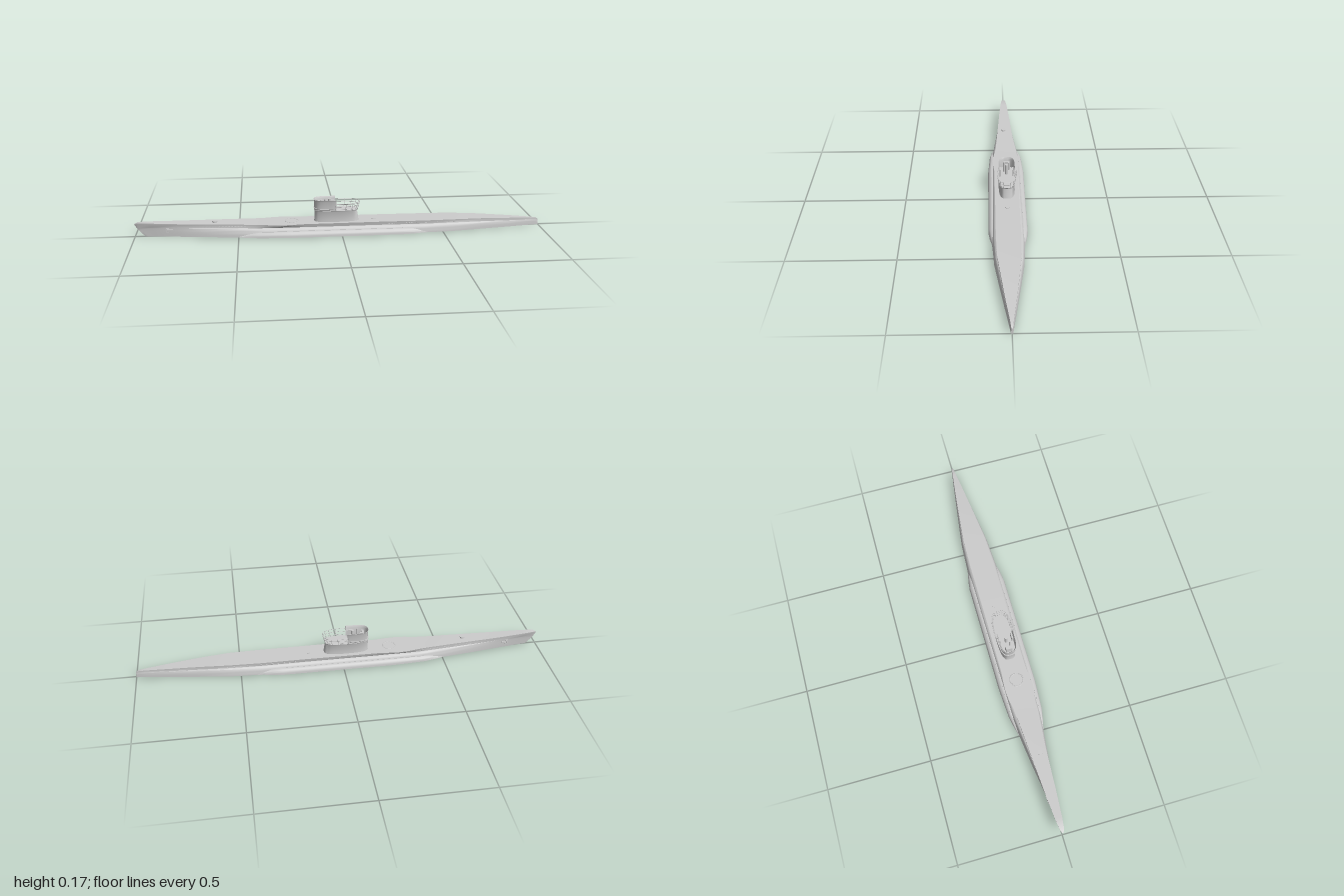
import * as THREE from 'three';
import { toCreasedNormals } from 'three/addons/utils/BufferGeometryUtils.js';

const hullGrey = new THREE.MeshStandardMaterial({ color: 0xcccccc });
hullGrey.name = 'hull grey';

// x, deck height, deck half width, neck half width, waterline half width
const stations = [
  [-1, .064, .002, .002, .002], [-.985, .071, .010, .005, .003], [-.93, .070, .017, .011, .008],
  [-.8, .066, .027, .022, .023], [-.65, .063, .036, .035, .042], [-.5, .060, .045, .045, .060],
  [-.42, .058, .050, .050, .068], [-.37, .057, .056, .052, .070], [-.33, .057, .064, .053, .071],
  [-.28, .057, .068, .053, .072], [-.23, .057, .065, .053, .073], [-.18, .057, .060, .054, .073],
  [.2, .057, .058, .055, .075], [.4, .056, .058, .056, .075], [.55, .056, .054, .053, .067],
  [.7, .052, .039, .039, .047], [.85, .044, .022, .022, .026], [.96, .037, .008, .008, .010],
  [.99, .034, .005, .005, .006], [1, .026, .003, .003, .004],
];
const NECK = .7;

function stationAt(x) {
  let i = 1;
  while (i < stations.length - 1 && stations[i][0] < x) i++;
  const a = stations[i - 1], b = stations[i], t = (x - a[0]) / (b[0] - a[0]);
  return a.map((v, k) => v + (b[k] - v) * t);
}

// Skin a row of closed rings of points, cap both ends, face outward
function loft(rings, crease = .6) {
  const n = rings[0].length, pos = [], index = [];
  rings.forEach(r => r.forEach(p => pos.push(...p)));
  for (let i = 0; i < rings.length - 1; i++) for (let j = 0; j < n; j++) {
    const a = i * n + j, b = i * n + (j + 1) % n;
    index.push(a, b, a + n, b, b + n, a + n);
  }
  [0, rings.length - 1].forEach((r, end) => {
    const c = pos.length / 3;
    for (let k = 0; k < 3; k++) pos.push(rings[r].reduce((s, p) => s + p[k], 0) / n);
    for (let j = 0; j < n; j++) {
      const a = r * n + j, b = r * n + (j + 1) % n;
      index.push(...(end ? [c, a, b] : [c, b, a]));
    }
  });
  const v = i => new THREE.Vector3().fromArray(pos, i * 3);
  let volume = 0;
  for (let i = 0; i < index.length; i += 3)
    volume += v(index[i]).dot(v(index[i + 1]).cross(v(index[i + 2])));
  if (volume < 0) index.reverse();
  const g = new THREE.BufferGeometry();
  g.setAttribute('position', new THREE.Float32BufferAttribute(pos, 3));
  g.setIndex(index);
  return toCreasedNormals(g, crease);
}

function hullRing([x, h, deck, neck, water]) {
  const rake = .05 * THREE.MathUtils.clamp((-.7 - x) / .3, 0, 1);
  const half = [[h, deck], [h * .92, deck * .985]];
  for (let i = 0; i <= 6; i++) {
    const a = i / 6 * Math.PI / 2;
    half.push([h * NECK * Math.cos(a), neck + (water - neck) * Math.sin(a)]);
  }
  return [...half, ...half.slice().reverse().map(([y, z]) => [y, -z])]
    .map(([y, z]) => [x + rake * (1 - y / h) ** 1.3, y, z]);
}

// Rounded-box outline of the tower, angle 0 pointing aft
function outline(t, front, aft, w) {
  const c = Math.cos(t), s = Math.sin(t);
  return [(front + aft) / 2 + (aft - front) / 2 * Math.sign(c) * Math.abs(c) ** .8,
    w * Math.sign(s) * Math.abs(s) ** .55];
}
const towerRing = (y, front, aft, w) => Array.from({ length: 40 }, (_, i) => {
  const [x, z] = outline(i / 40 * Math.PI * 2, front, aft, w);
  return [x, y, z];
});

// Thin wall round the front of the bridge; profile is [outward offset, y]
function bridgeWall(profile, end = -.025) {
  const path = [[end, .038], [-.05, .038], [-.08, .037], [-.1, .035], [-.115, .03], [-.125, .021], [-.129, .01]];
  const full = [...path, [-.13, 0], ...path.slice().reverse().map(([x, z]) => [x, -z])];
  return loft(full.map(([x, z], i) => {
    const a = full[Math.max(i - 1, 0)], b = full[Math.min(i + 1, full.length - 1)];
    const dx = b[0] - a[0], dz = b[1] - a[1], l = Math.hypot(dx, dz);
    return profile.map(([o, y]) => [x + dz / l * o, y, z - dx / l * o]);
  }));
}

export function createModel() {
  const model = new THREE.Group();
  model.name = 'submarine';
  const add = (name, geometry, x = 0, y = 0, z = 0, parent = model) => {
    const m = new THREE.Mesh(geometry, hullGrey);
    m.name = name;
    m.position.set(x, y, z);
    parent.add(m);
    return m;
  };
  const box = (x, y, z) => new THREE.BoxGeometry(x, y, z);
  const post = (r, h, n = 12) => new THREE.CylinderGeometry(r, r, h, n);

  add('hull', loft(stations.map(hullRing)));

  // Saddle tanks: x, outer half width, height
  const tankRows = [[-.5, .061, .004], [-.45, .073, .016], [-.4, .083, .024], [-.25, .092, .027],
    [.3, .092, .027], [.35, .086, .024], [.39, .077, .017], [.46, .070, .004]];
  for (const side of [-1, 1]) {
    add('saddleTank', loft(tankRows.map(([x, w, h]) => Array.from({ length: 17 }, (_, i) => {
      const a = i / 16 * Math.PI, r = (w - .045) / 2;
      return [x, h * Math.sin(a) ** .8, side * (w - r + r * Math.cos(a))];
    }))));
    add('tankSeam', box(.7, .002, .003), -.05, .0265, side * .072);

    // Flood slots in the casing
    const slots = new THREE.Group();
    slots.name = 'floodSlots';
    model.add(slots);
    for (const [start, count, step] of [[-.66, 20, .0145], [.22, 15, .014], [.47, 4, .03]])
      for (let i = 0; i < count; i++) {
        const x = start + i * step, [, h, deck, neck] = stationAt(x);
        const s = add('slot', box(.008, .003, .002), x, h * .8, side * (neck + (deck - neck) * .45), slots);
        s.rotation.x = side * Math.atan2(deck - neck, h * .22);
      }

    // Anchor lying against the bow
    const anchor = new THREE.Group();
    anchor.name = 'anchor';
    anchor.position.set(-.835, .032, side * .0205);
    anchor.rotation.y = -side * .11;
    model.add(anchor);
    add('anchorShank', box(.036, .004, .005), .004, .002, 0, anchor);
    add('anchorCrown', box(.006, .018, .005), -.012, 0, 0, anchor);
    for (const s of [-1, 1]) add('anchorFluke', box(.014, .003, .005), -.006, s * .0085, 0, anchor);
  }

  // Deck fittings
  const ring = add('gunRing', new THREE.TorusGeometry(.032, .003, 6, 40), -.24, .0565, 0);
  ring.rotation.x = Math.PI / 2;
  ring.scale.z = .7;
  add('capstan', post(.011, .008, 16), -.615, .0645, .006);
  add('capstanHead', post(.013, .003, 16), -.615, .069, .006);
  add('aftHatch', post(.011, .003, 20), .165, .0575, 0);

  // Conning tower
  add('towerBody', loft([towerRing(.05, -.132, .09, .040), towerRing(.062, -.13, .087, .0395),
    towerRing(.108, -.13, .08, .0395), towerRing(.113, -.131, .083, .042)]));
  add('bridgeWall', bridgeWall([[-.002, .11], [0, .11], [0, .157], [.004, .166], [.002, .166], [-.002, .157]]));
  add('sprayDeflector', bridgeWall([[-.001, .116], [.004, .121], [.004, .123], [-.001, .123]], -.04));
  add('innerBulkhead', box(.012, .04, .03), -.105, .134, 0);
  add('periscopeHousing', post(.007, .052, 16), -.055, .138, 0);
  add('periscopeHead', post(.004, .054, 12), -.078, .138, .012);
  add('aimingPost', post(.005, .042, 12), -.095, .134, -.012);
  for (const side of [-1, 1]) add('bridgeSideLocker', box(.03, .035, .008), -.045, .131, side * .031);

  // Railing round the aft platform, leaning outward
  const railing = new THREE.Group();
  railing.name = 'railing';
  model.add(railing);
  const railPoint = (t, y) => {
    const lean = (y - .114) * .2;
    const [x, z] = outline(t, -.125, .083 + lean * 1.3, .0405 + lean);
    return new THREE.Vector3(x, y, z);
  };
  const span = 1.62;
  const angles = n => Array.from({ length: n + 1 }, (_, i) => -span + i / n * span * 2);
  for (const y of [.119, .134, .149]) {
    const curve = new THREE.CatmullRomCurve3(angles(40).map(t => railPoint(t, y)));
    add('rail', new THREE.TubeGeometry(curve, 80, .0013, 6), 0, 0, 0, railing);
  }
  for (const t of angles(9)) {
    const line = new THREE.LineCurve3(railPoint(t, .112), railPoint(t, .15));
    add('railPost', new THREE.TubeGeometry(line, 1, .0013, 6), 0, 0, 0, railing);
  }
  return model;
}
